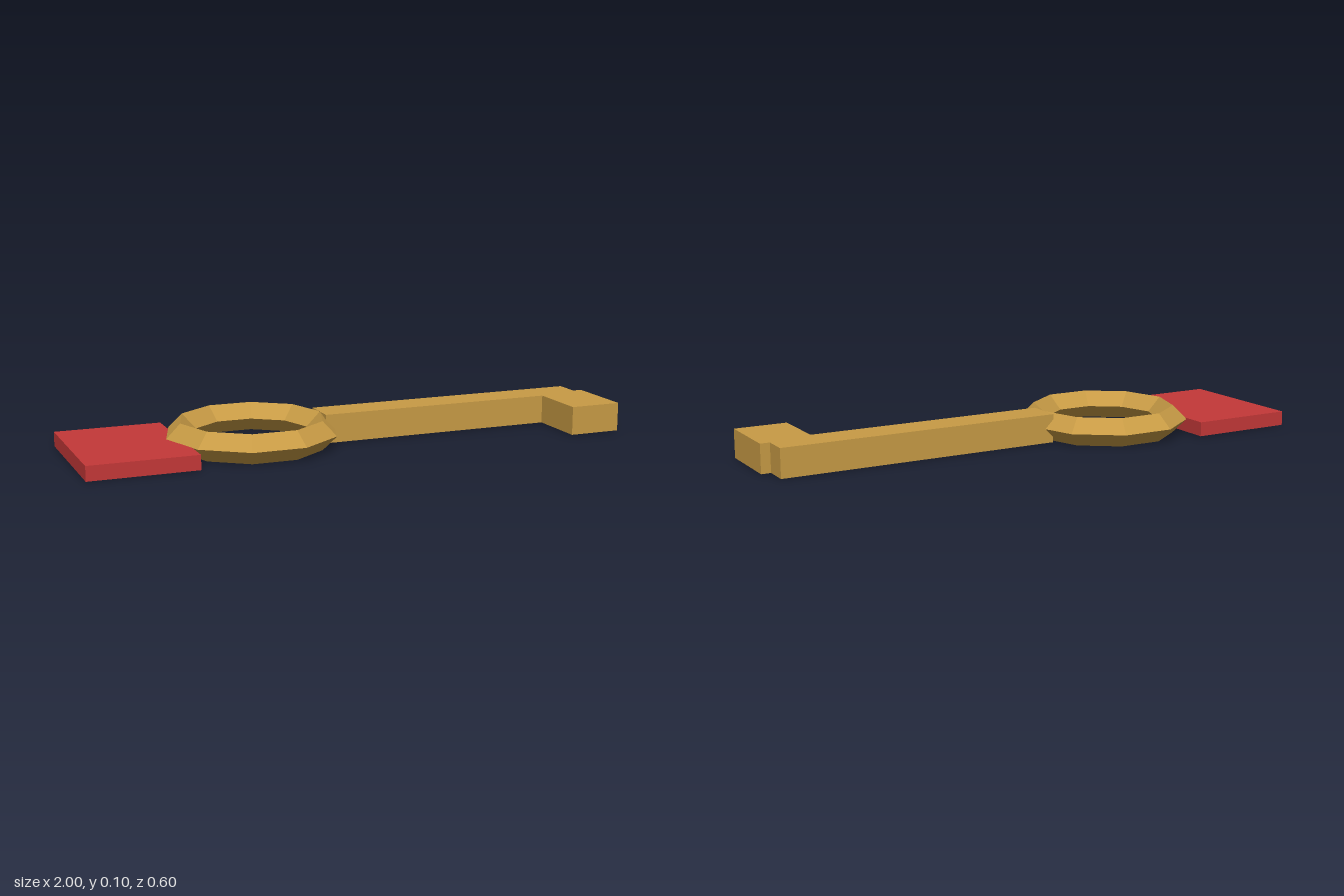
import * as THREE from 'three';

const HEIGHT = 0.105;

export function createModel() {
  const key = new THREE.Group();
  key.name = 'key';
  const gold = new THREE.MeshStandardMaterial({ color: 0xc89b45, flatShading: true });
  const red = new THREE.MeshStandardMaterial({ color: 0xc43838, flatShading: true });

  const add = (name, geometry, material) => {
    const mesh = new THREE.Mesh(geometry, material);
    mesh.name = name;
    key.add(mesh);
    return mesh;
  };

  // Ten-sided bow with a diamond section, lying flat
  const bow = new THREE.TorusGeometry(0.2625, HEIGHT / 2, 4, 10);
  bow.rotateX(Math.PI / 2);
  add('bow', bow, gold).position.set(-0.345, HEIGHT / 2, 0);

  // Shank and offset bit as one outline (x, z), extruded upwards
  const outline = new THREE.Shape([
    [-0.085, -0.067], [0.965, -0.067], [0.965, 0.026], [1, 0.026],
    [1, 0.288], [0.805, 0.288], [0.805, 0.065], [-0.085, 0.065],
  ].map(([x, z]) => new THREE.Vector2(x, z)));
  const shank = new THREE.ExtrudeGeometry(outline, { depth: HEIGHT, bevelEnabled: false });
  shank.rotateX(Math.PI / 2);
  add('shankAndBit', shank, gold).position.y = HEIGHT;

  // Flat tag at the end of the bow
  add('tag', new THREE.BoxGeometry(0.39, 0.053, 0.52), red).position.set(-0.805, 0.0265, -0.002);

  return key;
}
